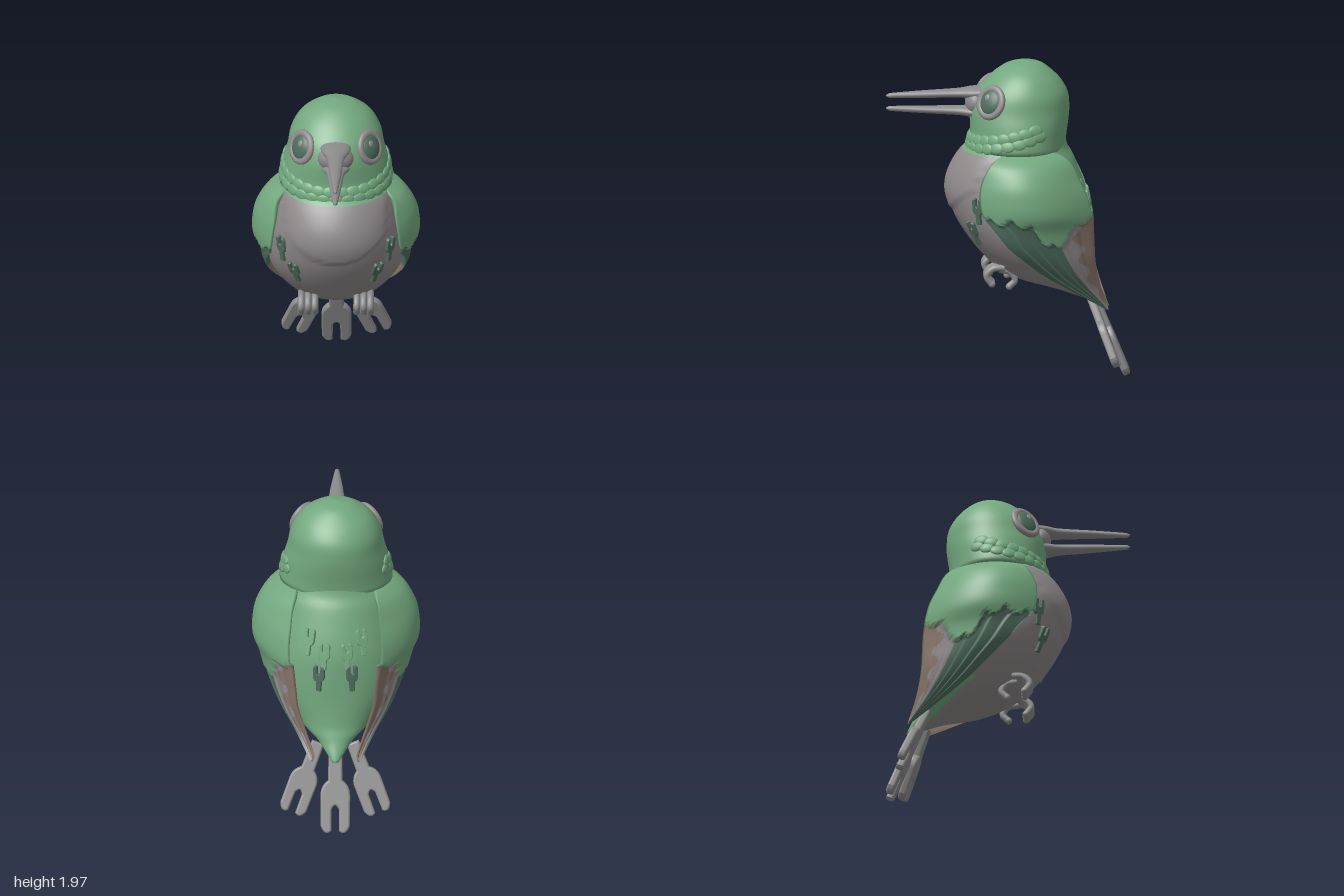
import * as THREE from 'three';

const paint = (name, color) => Object.assign(new THREE.MeshStandardMaterial({ color }), { name });
const green = paint('leaf green', 0x73a87f);
const darkGreen = paint('dark green', 0x4f6d5d);
const grey = paint('belly grey', 0x8f898a);
const beakGrey = paint('horn grey', 0x8b8b8b);
const brown = paint('feather brown', 0x87766a);

// Smooth lookup in rows [y, a, b, ...] sorted by rising y
function lookup(rows, y) {
  const last = rows.length - 1;
  y = Math.min(Math.max(y, rows[0][0]), rows[last][0]);
  let i = 0;
  while (i < last - 1 && y > rows[i + 1][0]) i++;
  const slope = (k, c) => {
    const a = rows[Math.max(k - 1, 0)], b = rows[Math.min(k + 1, last)];
    return (b[c] - a[c]) / (b[0] - a[0]);
  };
  const h = rows[i + 1][0] - rows[i][0], t = (y - rows[i][0]) / h, u = 1 - t;
  return rows[i].slice(1).map((v, k) =>
    v * u * u * (1 + 2 * t) + rows[i + 1][k + 1] * t * t * (3 - 2 * t)
    + h * t * u * (u * slope(i, k + 1) - t * slope(i + 1, k + 1)));
}

// Closed skin over a list of closed rings; pick(centre, j) gives the material slot
function loft(rings, pick = () => 0) {
  const n = rings[0].length, pts = rings.flat(), slots = [];
  const add = (a, b, c, slot) => (slots[slot] ??= []).push(a, b, c);
  for (let i = 0; i < rings.length - 1; i++) for (let j = 0; j < n; j++) {
    const a = i * n + j, b = i * n + (j + 1) % n, c = a + n, d = b + n;
    const slot = pick(pts[a].clone().add(pts[d]).multiplyScalar(0.5), j);
    add(a, c, b, slot); add(b, c, d, slot);
  }
  for (const i of [0, rings.length - 1]) {
    const mid = rings[i].reduce((s, p) => s.add(p), new THREE.Vector3()).divideScalar(n);
    const m = pts.push(mid) - 1;
    for (let j = 0; j < n; j++) {
      const a = i * n + j, b = i * n + (j + 1) % n;
      i ? add(b, a, m, pick(mid, j)) : add(a, b, m, pick(mid, j));
    }
  }
  const index = slots.flat();
  let volume = 0;
  for (let k = 0; k < index.length; k += 3)
    volume += pts[index[k]].dot(pts[index[k + 1]].clone().cross(pts[index[k + 2]]));
  if (volume < 0) flip(index);
  const g = new THREE.BufferGeometry().setFromPoints(pts);
  g.setIndex(index);
  let start = 0;
  slots.forEach((s, k) => { g.addGroup(start, s.length, k); start += s.length; });
  g.computeVertexNormals();
  return g;
}
function flip(index) {
  for (let k = 0; k < index.length; k += 3) [index[k], index[k + 1]] = [index[k + 1], index[k]];
}
function mirror(g) {
  const m = g.clone();
  const index = Array.from(g.index.array);
  flip(index);
  m.setIndex(index);
  const p = m.attributes.position;
  for (let i = 0; i < p.count; i++) p.setX(i, -p.getX(i));
  m.computeVertexNormals();
  return m;
}

// Rows: y, half width, front z, back z
const BODY = [[0.455, 0.02, -0.58, -0.62], [0.5, 0.06, -0.48, -0.60], [0.56, 0.12, -0.32, -0.57],
  [0.6, 0.18, -0.2, -0.555], [0.64, 0.235, -0.06, -0.54], [0.7, 0.29, 0.06, -0.53], [0.8, 0.365, 0.165, -0.52],
  [0.9, 0.41, 0.245, -0.515], [1.0, 0.425, 0.31, -0.51], [1.1, 0.42, 0.355, -0.5], [1.2, 0.405, 0.38, -0.475],
  [1.3, 0.385, 0.365, -0.44], [1.4, 0.36, 0.315, -0.4], [1.46, 0.33, 0.265, -0.365], [1.56, 0.24, 0.15, -0.34]];
const HEAD = [[1.44, 0.3, 0.22, -0.34], [1.455, 0.34, 0.245, -0.352], [1.49, 0.345, 0.25, -0.352],
  [1.55, 0.332, 0.235, -0.358], [1.62, 0.32, 0.235, -0.368], [1.7, 0.297, 0.235, -0.375], [1.8, 0.277, 0.2, -0.365],
  [1.88, 0.237, 0.135, -0.32], [1.93, 0.192, 0.08, -0.27], [1.97, 0.128, 0.02, -0.22],
  [1.985, 0.09, -0.02, -0.185], [2.0, 0.002, -0.1, -0.104]];
// Rows: y, front z, back z, front x, back x, bulge
const WING = [[0.46, -0.59, -0.61, 0.16, 0.15, 0.005], [0.5, -0.53, -0.6, 0.18, 0.14, 0.02],
  [0.6, -0.37, -0.565, 0.255, 0.175, 0.03], [0.7, -0.22, -0.54, 0.33, 0.21, 0.05], [0.8, -0.1, -0.525, 0.39, 0.24, 0.06],
  [0.9, 0.01, -0.52, 0.43, 0.25, 0.075], [1.0, 0.09, -0.515, 0.435, 0.26, 0.1], [1.1, 0.17, -0.5, 0.39, 0.27, 0.165],
  [1.2, 0.19, -0.475, 0.375, 0.27, 0.175], [1.3, 0.18, -0.43, 0.36, 0.26, 0.165], [1.4, 0.13, -0.38, 0.35, 0.25, 0.11],
  [1.45, 0.07, -0.32, 0.31, 0.24, 0.06], [1.48, -0.04, -0.22, 0.27, 0.23, 0.02]];

function surface(rows, y, a) {
  const [w, zf, zb] = lookup(rows, y), zc = zb + (zf - zb) * 0.48, s = Math.sin(a);
  return new THREE.Vector3(w * Math.cos(a), y, zc + s * (s > 0 ? zf - zc : zc - zb));
}
function normalAt(rows, y, a) {
  const du = surface(rows, y, a + 0.02).sub(surface(rows, y, a - 0.02));
  const dv = surface(rows, y + 0.01, a).sub(surface(rows, y - 0.01, a));
  return dv.cross(du).normalize();
}

function bodyGeometry() {
  const rings = [];
  for (let i = 0; i <= 60; i++) {
    const y = 0.455 + 1.105 * i / 60;
    rings.push(Array.from({ length: 80 }, (_, j) => {
      const p = surface(BODY, y, j / 80 * Math.PI * 2);
      // raised breast bib
      if (p.z > 0.1 && Math.abs(p.x) < 0.31 && y > 1.09 + 1.6 * p.x * p.x) p.z += 0.012;
      return p;
    }));
  }
  return loft(rings, p => (p.y > 1.45 || p.z < -0.2 - Math.max(0, 0.7 - p.y) * 1.5) ? 1 : 0);
}
function headGeometry() {
  const rings = [];
  for (let i = 0; i <= 44; i++) {
    const y = 2 - 0.56 * (i / 44) ** 2;
    rings.push(Array.from({ length: 56 }, (_, j) => surface(HEAD, y, j / 56 * Math.PI * 2)));
  }
  return loft(rings);
}

// Wing shell: green coverts with a scalloped hem, then dark, grey and brown flight feathers
const isCovert = (y, z) => y > 1.1 - 0.17 * Math.exp(-(((z + 0.27) / 0.12) ** 2)) - 0.05 * Math.abs(Math.sin(z * Math.PI / 0.13));
function wingGeometry() {
  const OUT = 56, IN = 16, rings = [];
  for (let i = 0; i <= 84; i++) {
    const y = 0.46 + 1.02 * i / 84, [zf, zb, xf, xb, bulge] = lookup(WING, y), ring = [];
    const at = (s, dx) => new THREE.Vector3(xf + (xb - xf) * s + bulge * 4 * s * (1 - s) + dx, y, zf + (zb - zf) * s);
    for (let j = 0; j <= OUT; j++) {
      const s = j / OUT, z = zf + (zb - zf) * s;
      ring.push(at(s, isCovert(y, z) ? 0.01 : -0.012 + 0.01 * ((s * 6) % 1)));
    }
    for (let j = IN - 1; j > 0; j--)
      ring.push(at(j / IN, -Math.min(0.07, 0.02 + bulge * 0.6) * Math.sqrt(Math.sin(Math.PI * j / IN))));
    rings.push(ring);
  }
  return loft(rings, (p, j) => {
    if (isCovert(p.y, p.z)) return 0;
    if (j >= OUT) return p.y < 0.9 ? 3 : 1;
    const s = j / OUT;
    return s < 0.6 ? 1 : s < 0.8 + 0.06 * Math.sin(p.y * 45) ? 2 : 3;
  });
}

// Two-pronged feather hanging down from its origin
function forkGeometry() {
  const s = new THREE.Shape();
  s.moveTo(-0.03, 0); s.lineTo(0.03, 0); s.lineTo(0.033, -0.19);
  s.quadraticCurveTo(0.08, -0.22, 0.08, -0.28);
  s.lineTo(0.078, -0.46); s.quadraticCurveTo(0.06, -0.51, 0.036, -0.49);
  s.lineTo(0.034, -0.36); s.quadraticCurveTo(0, -0.29, -0.034, -0.36);
  s.lineTo(-0.036, -0.49); s.quadraticCurveTo(-0.06, -0.51, -0.078, -0.46);
  s.lineTo(-0.08, -0.28); s.quadraticCurveTo(-0.08, -0.22, -0.033, -0.19);
  return new THREE.ExtrudeGeometry(s, { depth: 0.02, bevelThickness: 0.014, bevelSize: 0.012, bevelSegments: 3, curveSegments: 8 })
    .translate(0, 0, -0.01);
}

export function createModel() {
  const bird = new THREE.Group();
  bird.name = 'bird';
  const add = (name, g, m, p = [0, 0, 0], parent = bird) => {
    const mesh = new THREE.Mesh(g, m);
    mesh.name = name;
    mesh.position.set(...p);
    parent.add(mesh);
    return mesh;
  };
  const ball = new THREE.SphereGeometry(1, 24, 16);
  add('body', bodyGeometry(), [grey, green]);
  add('head', headGeometry(), green);
  const wing = wingGeometry(), wingPaint = [green, darkGreen, grey, brown];
  add('leftWing', wing, wingPaint);
  add('rightWing', mirror(wing), wingPaint);

  // Collar of overlapping scallops
  for (let row = 0; row < 2; row++) for (let i = 0; i < 19 - row; i++) {
    const d = (i + row / 2) / 18 * 2 - 1, a = Math.PI / 2 + d * 1.95;
    const y = 1.475 + row * 0.05 + 0.1 * d * d;
    const p = surface(HEAD, y, a);
    const f = add('collarFeather', ball, green, p.toArray());
    f.lookAt(p.clone().add(normalAt(HEAD, y, a)));
    f.scale.set(0.045, 0.035, 0.014);
  }

  // Beak: two long mandibles, open at the tip
  const BEAK = [[0.14, 0.1, 0.02, 0.1], [0.23, 0.085, 0.024, 0.094], [0.3, 0.056, 0.025, 0.084],
    [0.5, 0.037, 0.025, 0.072], [0.7, 0.017, 0.025, 0.058], [0.74, 0.011, 0.027, 0.052], [0.75, 0.003, 0.036, 0.043]];
  const mandible = side => loft(Array.from({ length: 31 }, (_, i) => {
    const z = 0.14 + 0.61 * i / 30, [w, lo, hi] = lookup(BEAK, z);
    return Array.from({ length: 20 }, (_, j) => {
      const a = j / 20 * Math.PI * 2;
      return new THREE.Vector3(w * Math.cos(a), 1.74 + side * ((lo + hi) / 2 + (hi - lo) / 2 * Math.sin(a)), z);
    });
  }));
  add('upperBeak', mandible(1), beakGrey);
  add('lowerBeak', mandible(-1), beakGrey);
  add('beakBase', ball, beakGrey, [0, 1.74, 0.2]).scale.set(0.11, 0.085, 0.065);

  const fork = forkGeometry(), raised = fork.clone().rotateZ(Math.PI);
  const toe = pts => new THREE.TubeGeometry(new THREE.CatmullRomCurve3(pts.map(p => new THREE.Vector3(...p))), 18, 0.021, 10);
  const frontToe = toe([[0, 0.74, 0.03], [0, 0.735, 0.1], [0, 0.69, 0.14], [0, 0.64, 0.11]]);
  const backToe = toe([[0, 0.72, 0.06], [0, 0.705, -0.005], [0, 0.655, -0.035], [0, 0.615, 0]]);

  for (const side of [1, -1]) {
    // Eye, facing outward and forward
    const a = Math.PI / 2 - side * 0.83, p = surface(HEAD, 1.775, a);
    const eye = new THREE.Group();
    eye.name = side > 0 ? 'leftEye' : 'rightEye';
    eye.position.copy(p);
    bird.add(eye);
    eye.lookAt(p.clone().add(normalAt(HEAD, 1.775, a)));
    add('eyeRing', new THREE.TorusGeometry(0.086, 0.024, 12, 36), grey, [0, 0, 0], eye).scale.set(0.95, 1, 0.8);
    add('eyeball', ball, darkGreen, [0, 0, 0], eye).scale.set(0.076, 0.083, 0.035);
    add('eyeGlint', ball, grey, [-side * 0.012, 0.025, 0.03], eye).scale.set(0.018, 0.022, 0.008);

    // Curled feet
    for (let i = -1; i <= 1; i++) {
      add('frontToe', frontToe, beakGrey, [side * 0.17 + i * 0.042, 0, 0]);
      add('frontClaw', ball, beakGrey, [side * 0.17 + i * 0.042, 0.64, 0.108]).scale.setScalar(0.022);
    }
    add('backToe', backToe, beakGrey, [side * 0.17, 0, 0]);
    add('backClaw', ball, beakGrey, [side * 0.17, 0.615, 0]).scale.setScalar(0.022);

    // Outer tail feathers
    const tail = add('outerTailFeather', fork, beakGrey, [side * 0.11, 0.53, -0.5]);
    tail.rotation.set(0.37, 0, side * 0.36);
    tail.scale.set(0.95, 0.9, 1);

    // Small forked tufts on the breast and back: y, angle from the middle, colour
    for (const [y, off, middle, m] of [[1.04, 0.84, 1, darkGreen], [0.9, 0.58, 1, darkGreen],
      [1.04, 0.17, -1, green], [0.9, 0.25, -1, darkGreen], [1.12, 0.42, -1, green]]) {
      const b = middle * (Math.PI / 2 - side * off), q = surface(BODY, y, b);
      const tuft = add('forkedTuft', raised, m, q.toArray());
      tuft.lookAt(q.clone().add(normalAt(BODY, y + 0.08, b)));
      tuft.scale.set(0.4, 0.32, 0.8);
    }
  }
  const middleTail = add('middleTailFeather', fork, beakGrey, [0, 0.5, -0.535]);
  middleTail.rotation.x = 0.39;
  return bird;
}
